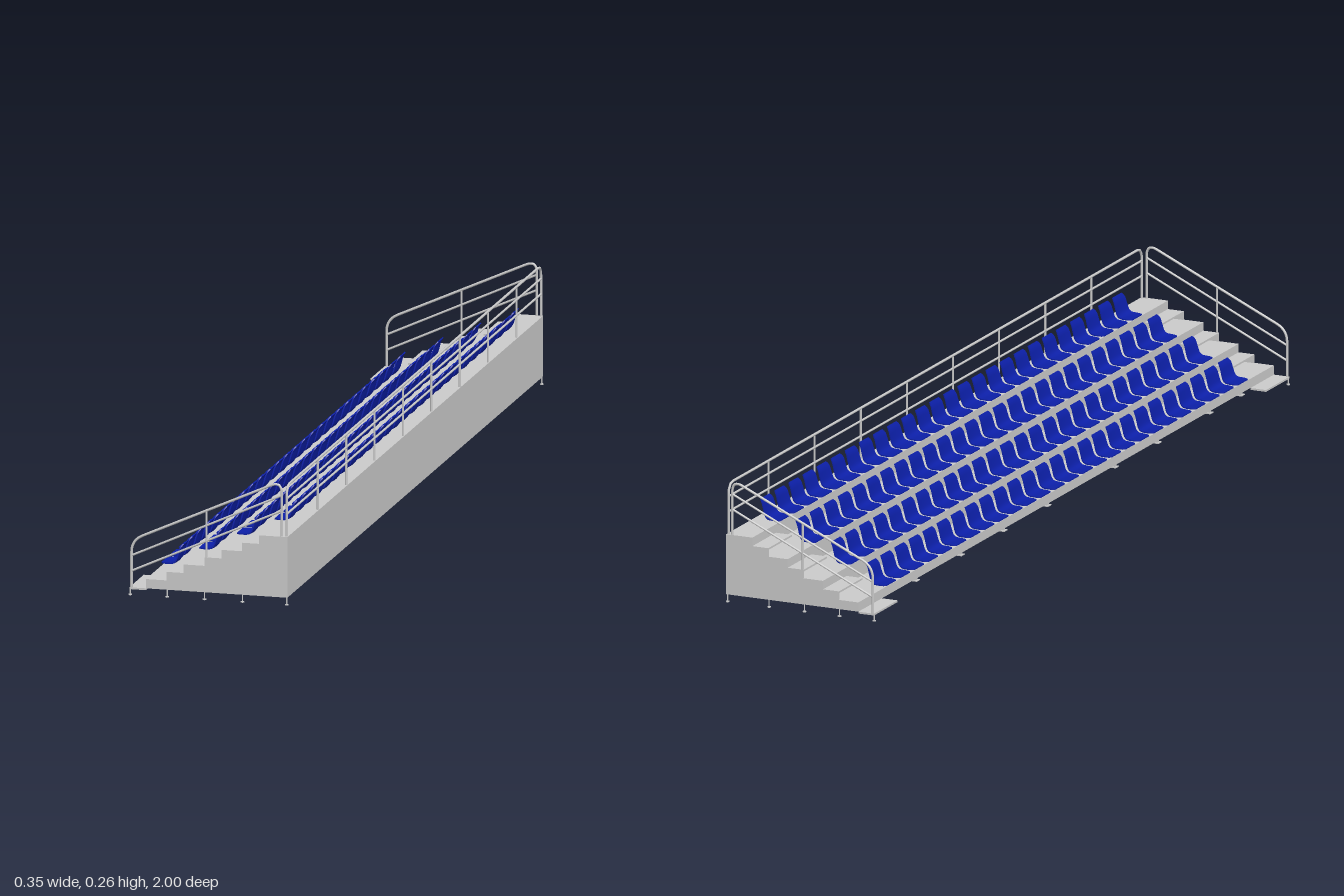
import * as THREE from 'three';

const GREY = new THREE.MeshStandardMaterial({ color: 0xcccccc, side: THREE.DoubleSide });
const BLUE = new THREE.MeshStandardMaterial({ color: 0x0c1fa8 });

const ROWS = 4, PITCH = 0.0817, RISE = 0.0367;
const X0 = -0.135, Y0 = 0.037, XB = 0.171, BASE = 0.017;
const END = 0.998, STAIR = 0.885;          // outer end and inner edge of the stairs
const T = 0.004;                           // sheet thickness
const tierX = i => (i < ROWS ? X0 + PITCH * i : XB);
const tierY = i => Y0 + RISE * i;

// Box given by its lower and upper limits
function box(parent, name, x0, x1, y0, y1, z0, z1) {
  const m = new THREE.Mesh(new THREE.BoxGeometry(x1 - x0, y1 - y0, z1 - z0), GREY);
  m.position.set((x0 + x1) / 2, (y0 + y1) / 2, (z0 + z1) / 2);
  m.name = name;
  parent.add(m);
}

// Straight round bar between two points
function bar(parent, name, a, b, r = 0.0024) {
  const p = new THREE.Vector3(...a), q = new THREE.Vector3(...b);
  const m = new THREE.Mesh(new THREE.CylinderGeometry(r, r, p.distanceTo(q), 8), GREY);
  m.position.copy(p).lerp(q, 0.5);
  m.quaternion.setFromUnitVectors(new THREE.Vector3(0, 1, 0), q.sub(p).normalize());
  m.name = name;
  parent.add(m);
}

// Bent tube through four corners, with the two middle ones rounded
function hoop(parent, name, pts, round, r = 0.0028) {
  const [a, b, c, d] = pts.map(p => new THREE.Vector3(...p));
  const toward = (p, q) => p.clone().add(q.clone().sub(p).setLength(round));
  const path = new THREE.CurvePath();
  const [b0, b1, c0, c1] = [toward(b, a), toward(b, c), toward(c, b), toward(c, d)];
  path.add(new THREE.LineCurve3(a, b0));
  path.add(new THREE.QuadraticBezierCurve3(b0, b, b1));
  path.add(new THREE.LineCurve3(b1, c0));
  path.add(new THREE.QuadraticBezierCurve3(c0, c, c1));
  path.add(new THREE.LineCurve3(c1, d));
  const points = path.curves.flatMap(k => k.getPoints(k.isLineCurve3 ? 1 : 6).slice(0, -1)).concat(d);
  const poly = new THREE.CurvePath();
  for (let i = 1; i < points.length; i++) poly.add(new THREE.LineCurve3(points[i - 1], points[i]));
  const m = new THREE.Mesh(new THREE.TubeGeometry(poly, 160, r, 8), GREY);
  m.name = name;
  parent.add(m);
}

// Seat shell: a thin slab bent along a side profile, tapering up the back
function seatGeometry() {
  const curve = new THREE.CatmullRomCurve3([
    [-0.003, 0.004], [0.012, 0.003], [0.024, 0.0035], [0.031, 0.009], [0.036, 0.025], [0.039, 0.038], [0.044, 0.046],
  ].map(([x, y]) => new THREE.Vector3(x, y, 0)));
  const g = new THREE.BoxGeometry(1, 0.0026, 1, 14, 1, 4);
  const p = g.attributes.position;
  for (let i = 0; i < p.count; i++) {
    const s = p.getX(i) + 0.5, w = p.getZ(i);
    const c = curve.getPointAt(s), t = curve.getTangentAt(s);
    const n = p.getY(i) + 0.009 * w * w * Math.sin(Math.PI * s);   // slightly dished
    const corner = 1 - 0.18 * Math.pow(Math.abs(2 * s - 1), 8);     // softened ends
    const width = (0.056 - 0.01 * Math.max(0, s - 0.4)) * corner;
    p.setXYZ(i, c.x - t.y * n, c.y + t.x * n, w * width);
  }
  g.computeVertexNormals();
  return g;
}

export function createModel() {
  const model = new THREE.Group();
  const group = name => {
    const g = new THREE.Group();
    g.name = name;
    model.add(g);
    return g;
  };

  // Tier decks with risers, and the tall rear wall
  const tiers = group('tiers');
  for (let i = 0; i < ROWS; i++) {
    const x = tierX(i), y = tierY(i);
    box(tiers, 'tierDeck', x, tierX(i + 1), y - T, y, -END, END);
    box(tiers, 'tierRiser', x, x + 0.002, i ? y - RISE : BASE, y - T, -END, END);
  }
  box(tiers, 'rearWall', XB - 0.002, XB, BASE, tierY(3), -END, END);

  // Stepped outline shared by both end walls: every tier has a half step
  const outline = [[X0, BASE]];
  for (let i = 0; i < ROWS; i++) {
    const x = tierX(i), y = tierY(i);
    outline.push([x, y]);
    if (i < ROWS - 1) {
      const h = x + 0.045;
      outline.push([h, y], [h, y + RISE / 2], [tierX(i + 1), y + RISE / 2]);
    }
  }
  outline.push([XB, tierY(3)], [XB, BASE]);
  const wallShape = new THREE.Shape(outline.map(([x, y]) => new THREE.Vector2(x, y)));
  const wallGeo = new THREE.ExtrudeGeometry(wallShape, { depth: 0.003, bevelEnabled: false });

  for (const side of [-1, 1]) {
    const end = group(side > 0 ? 'frontEnd' : 'rearEnd');
    const zs = [side * END, side * STAIR].sort((a, b) => a - b);
    const wall = new THREE.Mesh(wallGeo, GREY);
    wall.name = 'endWall';
    wall.position.z = side > 0 ? END - 0.003 : -END;
    end.add(wall);

    // Stair treads between the tiers and the lowest entry tread
    box(end, 'entryTread', -0.171, X0, BASE - T, BASE, ...zs);
    for (let i = 0; i < ROWS - 1; i++) {
      const y = tierY(i) + RISE / 2;
      box(end, 'halfTread', tierX(i) + 0.045, tierX(i + 1), y - T, y, ...zs);
    }

    // Sloped handrail with two lower rails and a middle post
    const z = side * 0.995;
    hoop(end, 'handrail', [[-0.167, BASE, z], [-0.167, 0.118, z], [0.158, 0.266, z], [0.158, tierY(3), z]], 0.026);
    for (const y of [0.085, 0.052]) bar(end, 'lowerRail', [-0.167, y, z], [0.158, y + 0.15, z]);
    bar(end, 'railPost', [-0.005, 0.091, z], [-0.005, 0.192, z]);

    // Slim levelling legs under the end wall
    for (const x of [-0.17, -0.09, -0.009, 0.073, 0.169]) {
      bar(end, 'levellingLeg', [x, 0, z], [x, BASE, z], 0.0015);
      bar(end, 'levellingPad', [x, 0, z], [x, 0.002, z], 0.004);
    }
  }

  // Rear guardrail
  const guard = group('rearGuardrail');
  const xr = 0.168, top = 0.256;
  hoop(guard, 'guardHoop', [[xr, tierY(3), -0.992], [xr, top, -0.992], [xr, top, 0.992], [xr, tierY(3), 0.992]], 0.022);
  for (const y of [0.228, 0.195]) bar(guard, 'guardRail', [xr, y, -0.992], [xr, y, 0.992]);
  for (let i = 0; i < 8; i++) {
    const z = 0.75 - i * 0.2215;
    bar(guard, 'guardPost', [xr, tierY(3), z], [xr, top, z]);
  }

  // Support posts with foot plates under every tier
  const supports = group('supports');
  for (let i = 0; i < ROWS; i++) {
    const x = -0.113 + i * 0.0815;
    for (const z of [-0.88, -0.68, -0.465, -0.26, -0.05, 0.275, 0.48, 0.73, 0.88]) {
      box(supports, 'supportPost', x - 0.004, x + 0.004, 0, tierY(i) - T, z - 0.004, z + 0.004);
      box(supports, 'footPlate', x - 0.008, x + 0.008, 0, 0.002, z - 0.008, z + 0.008);
      box(supports, 'headPlate', x - 0.008, x + 0.008, 0.014, 0.017, z - 0.006, z + 0.006);
    }
  }

  // Seats
  const seats = group('seats');
  const seatGeo = seatGeometry();
  for (let i = 0; i < ROWS; i++) {
    for (let k = 0; k < 26; k++) {
      const seat = new THREE.Mesh(seatGeo, BLUE);
      seat.name = 'seat';
      seat.position.set(tierX(i), tierY(i), -0.847 + k * 0.0676);
      seats.add(seat);
    }
  }
  return model;
}
